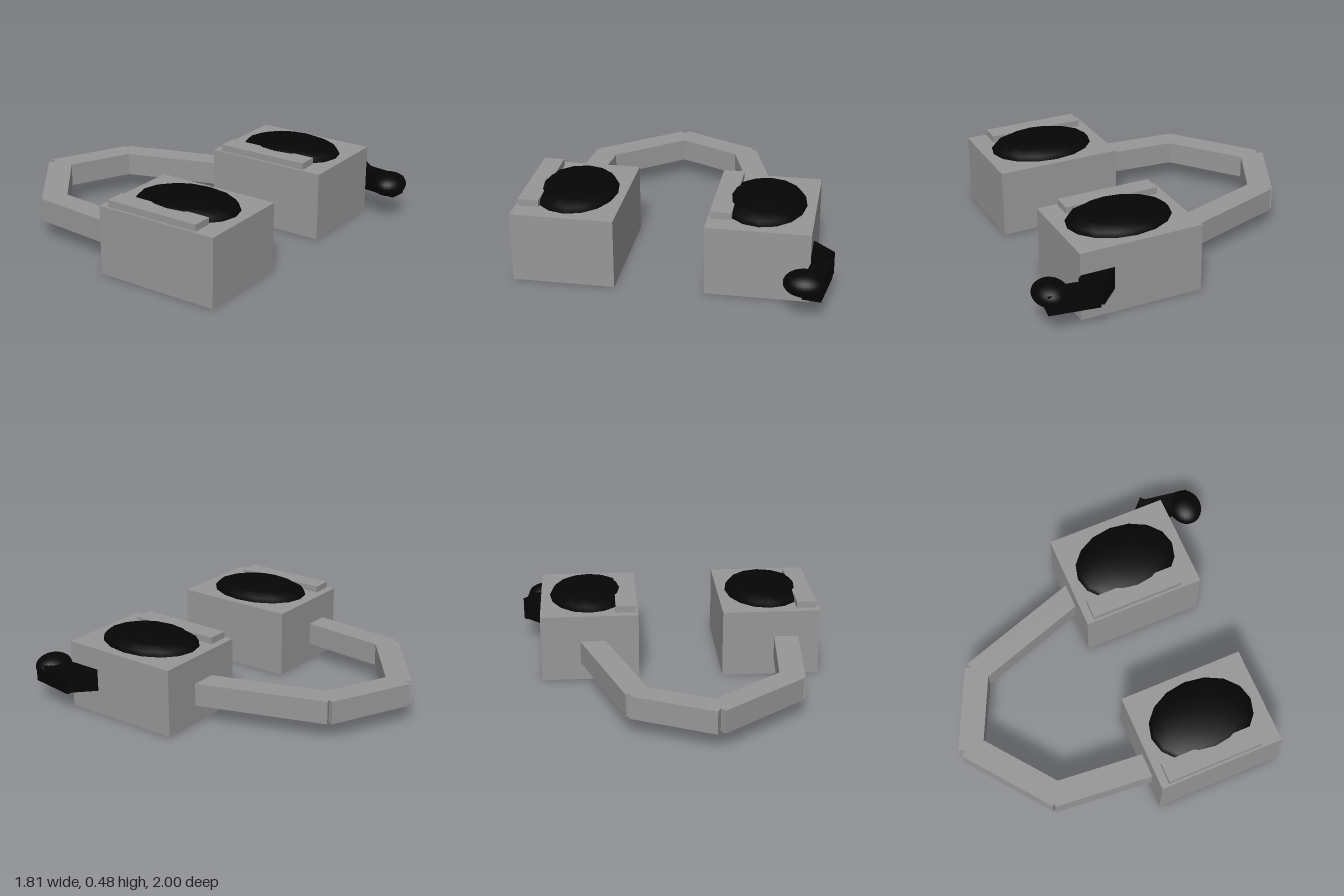
import * as THREE from 'three';

const grey = new THREE.MeshStandardMaterial({ color: 0x979797 });
const black = new THREE.MeshStandardMaterial({ color: 0x050505 });

function add(parent, name, geometry, material, x, y, z) {
  const mesh = new THREE.Mesh(geometry, material);
  mesh.name = name;
  mesh.position.set(x, y, z);
  parent.add(mesh);
  return mesh;
}

// Box from its minimum and maximum corners
function block(parent, name, [x0, y0, z0], [x1, y1, z1]) {
  const g = new THREE.BoxGeometry(x1 - x0, y1 - y0, z1 - z0);
  add(parent, name, g, grey, (x0 + x1) / 2, (y0 + y1) / 2, (z0 + z1) / 2);
}

// Horizontal bar running between two (x, z) points
function bar(parent, name, [xa, za], [xb, zb], width, y0, y1, material) {
  const dx = xb - xa, dz = zb - za;
  const g = new THREE.BoxGeometry(width, y1 - y0, Math.hypot(dx, dz));
  const mesh = add(parent, name, g, material, (xa + xb) / 2, (y0 + y1) / 2, (za + zb) / 2);
  mesh.rotation.y = Math.atan2(dx, dz);
}

function ellipsoid(parent, name, [x, y, z], [rx, ry, rz], segments, rings) {
  const g = new THREE.SphereGeometry(1, segments, rings).scale(rx, ry, rz);
  add(parent, name, g, black, x, y, z);
}

// Ear cup: housing, rounded speaker pad and a raised strip along one side
function earCup(name, x, front, padX, padZ, padR) {
  const cup = new THREE.Group();
  cup.name = name;
  block(cup, 'housing', [x, 0, -0.01], [x + 0.589, 0.41, front]);
  block(cup, 'sideStrip', [x + 0.014, 0.405, 0.038], [x + 0.135, 0.45, front - 0.12]);
  ellipsoid(cup, 'earPad', [padX, 0.405, padZ], padR, 16, 8);
  return cup;
}

export function createModel() {
  const model = new THREE.Group();
  model.name = 'headset';

  model.add(earCup('rightEarCup', -0.907, 0.745, -0.609, 0.369, [0.245, 0.076, 0.321]));
  model.add(earCup('leftEarCup', 0.191, 0.73, 0.486, 0.362, [0.243, 0.076, 0.316]));

  // Angular headband of four overlapping bars
  const band = new THREE.Group();
  band.name = 'headband';
  const segments = [
    [[-0.708, 0.03], [-0.652, -0.594]],
    [[-0.67, -0.555], [-0.184, -0.932]],
    [[-0.216, -0.933], [0.254, -0.711]],
    [[0.231, -0.734], [0.48, 0.03]],
  ];
  for (const [a, b] of segments) bar(band, 'bandSegment', a, b, 0.146, 0.11, 0.248, grey);
  model.add(band);

  // Microphone on a bent boom
  const mic = new THREE.Group();
  mic.name = 'microphone';
  bar(mic, 'boomBase', [0.704, 0.553], [0.855, 0.7], 0.143, 0.145, 0.28, black);
  bar(mic, 'boomArm', [0.847, 0.655], [0.804, 0.943], 0.107, 0.13, 0.245, black);
  ellipsoid(mic, 'micTip', [0.762, 0.212, 0.9], [0.117, 0.07, 0.1], 24, 16);
  model.add(mic);

  return model;
}
